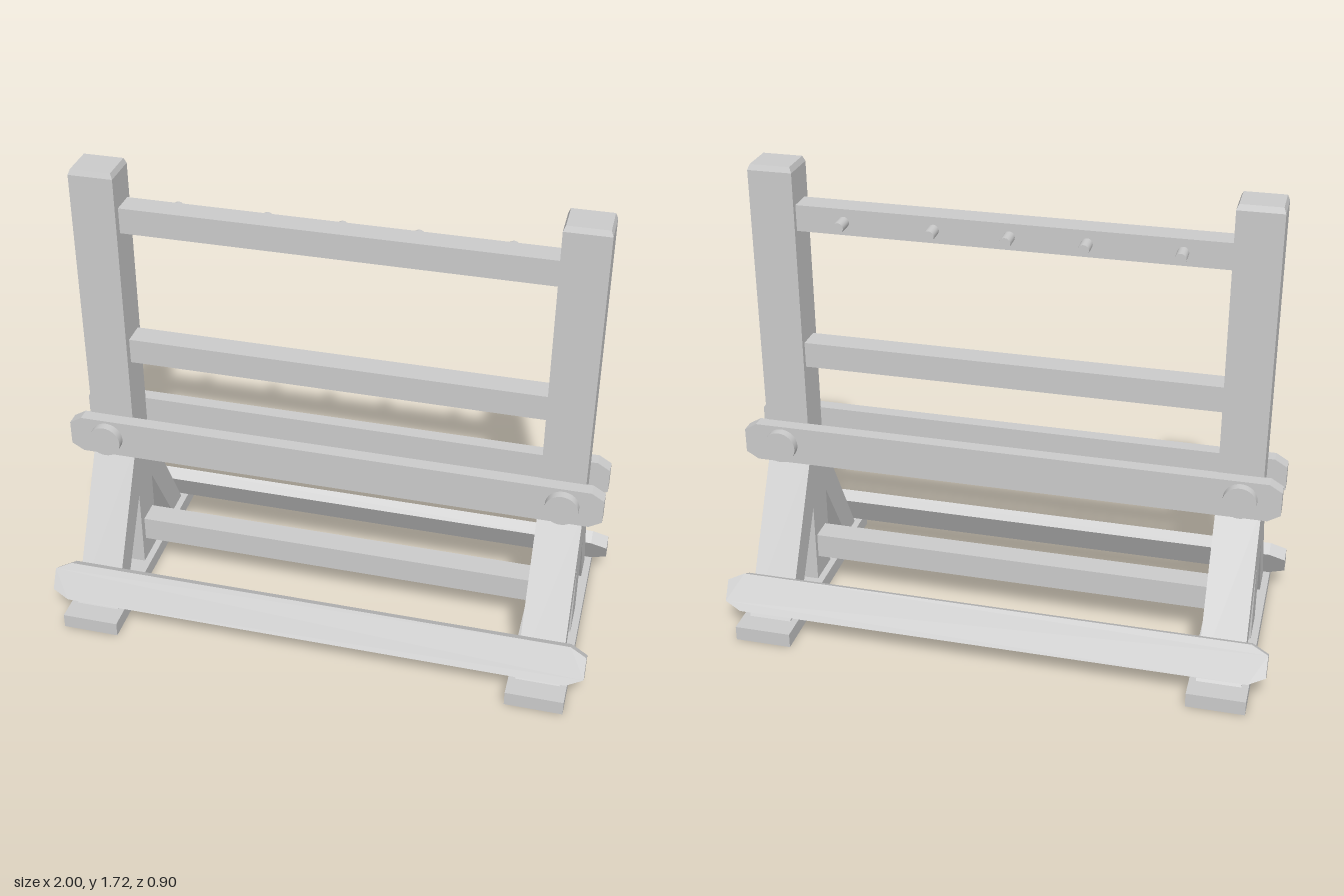
import * as THREE from 'three';

const material = new THREE.MeshStandardMaterial({ color: 0xcccccc, flatShading: true });
const smooth = new THREE.MeshStandardMaterial({ color: 0xcccccc });
const hollow = new THREE.MeshStandardMaterial({ color: 0xcccccc, flatShading: true, side: THREE.DoubleSide });

export function createModel() {
  const model = new THREE.Group();

  const add = (name, geometry, x, y, z, mat = material) => {
    const mesh = new THREE.Mesh(geometry, mat);
    mesh.name = name;
    mesh.position.set(x, y, z);
    model.add(mesh);
    return mesh;
  };

  // Extrude a polygon by a depth centred on zero
  const slab = (points, depth) => {
    const shape = new THREE.Shape(points.map(([x, y]) => new THREE.Vector2(x, y)));
    return new THREE.ExtrudeGeometry(shape, { depth, bevelEnabled: false }).translate(0, 0, -depth / 2);
  };

  // Plank along x with its end corners cut off
  const plank = (half, height, depth, cutX, cutY) => {
    const h = height / 2;
    return slab([
      [-half + cutX, -h], [half - cutX, -h], [half, -h + cutY], [half, h - cutY],
      [half - cutX, h], [-half + cutX, h], [-half, h - cutY], [-half, -h + cutY],
    ], depth);
  };

  // Foot: box open at the bottom
  const footShape = () => {
    const geometry = new THREE.BoxGeometry(0.21, 0.055, 0.9);
    const index = Array.from(geometry.index.array);
    index.splice(18, 6);
    geometry.setIndex(index);
    geometry.clearGroups();
    return geometry;
  };

  // Post with a slightly bevelled top
  const postShape = () => {
    const geometry = new THREE.BoxGeometry(0.16, 1.67, 0.14, 1, 2, 1);
    const p = geometry.attributes.position;
    for (let i = 0; i < p.count; i++) {
      if (p.getY(i) > 0.8) {
        p.setX(i, p.getX(i) * 0.9);
        p.setZ(i, p.getZ(i) * 0.9);
      } else if (p.getY(i) > -0.1) p.setY(i, 0.815);
    }
    return geometry;
  };

  for (const [side, s] of [['left', 1], ['right', -1]]) {
    const x = s * 0.838;
    add(`${side}Foot`, footShape(), x, 0.0275, 0, hollow);
    add(`${side}Post`, postShape(), x, 0.885, 0);

    // Slanted braces in front of and behind the post
    for (const [end, e] of [['Front', 1], ['Back', -1]]) {
      const brace = slab([[0.06, 0.606], [0.06, 0.392], [0.263, 0.05], [0.372, 0.05]], 0.16);
      add(`${side}${end}Brace`, brace, x, 0, 0).rotation.y = e * -Math.PI / 2;

      const bolt = new THREE.CylinderGeometry(0.06, 0.06, 0.08, 32).rotateX(Math.PI / 2);
      add(`${side}${end}Bolt`, bolt, s * 0.845, 0.665, e * 0.11, smooth);
    }
  }

  // Outer planks on both faces: upright at mid height, leaning on the braces below
  for (const [end, e] of [['front', 1], ['back', -1]]) {
    add(`${end}MiddlePlank`, plank(0.988, 0.145, 0.05, 0.045, 0.027), 0, 0.662, e * 0.093);
    add(`${end}LowerPlank`, plank(1, 0.14, 0.052, 0.06, 0.03), 0, 0.147, e * 0.351).rotation.x = e * -0.512;
  }

  // Cross rails between the posts
  for (const [name, y] of [['lower', 0.193], ['middle', 1.007], ['upper', 1.532]]) {
    add(`${name}CrossRail`, new THREE.BoxGeometry(1.53, 0.095, 0.09), 0, y, -0.005);
  }

  // Hanging pegs on the back of the upper rail
  for (const x of [-0.593, -0.27, -0.003, 0.263, 0.585]) {
    const peg = new THREE.CylinderGeometry(0.02, 0.02, 0.075, 16).rotateX(Math.PI / 2);
    add('peg', peg, x, 1.532, -0.0765, smooth);
  }

  return model;
}
